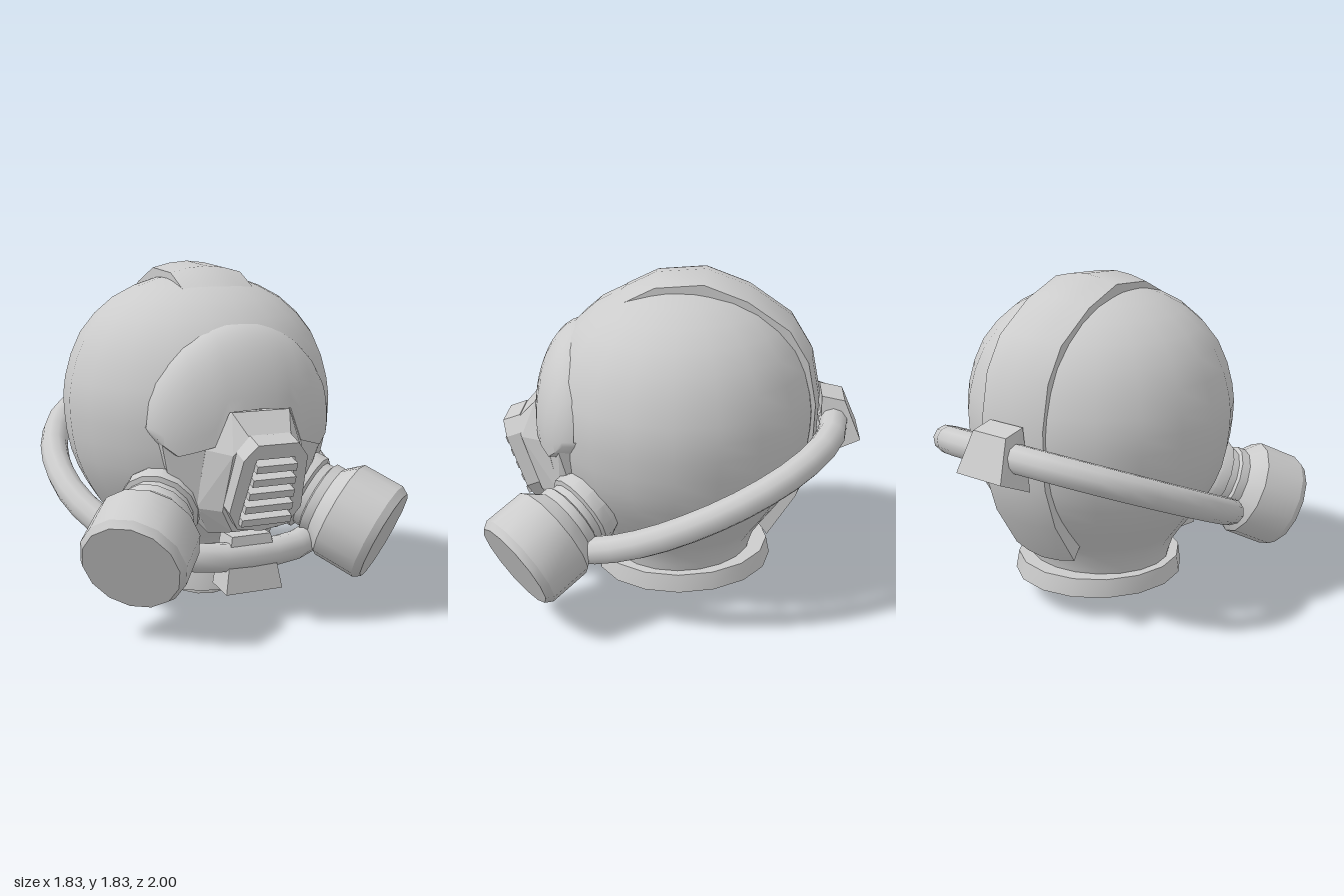
import * as THREE from 'three';
import { toCreasedNormals } from 'three/addons/utils/BufferGeometryUtils.js';
import { ConvexGeometry } from 'three/addons/geometries/ConvexGeometry.js';

const grey = new THREE.MeshStandardMaterial({ color: 0xcccccc });
const greyThin = new THREE.MeshStandardMaterial({ color: 0xcccccc, side: THREE.DoubleSide });
const V2 = (x, y) => new THREE.Vector2(x, y);
const V3 = (x, y, z) => new THREE.Vector3(x, y, z);

function add(parent, name, geometry, material = grey) {
  const mesh = new THREE.Mesh(geometry, material);
  mesh.name = name;
  parent.add(mesh);
  return mesh;
}

// Skin rows of points; closed wraps every row into a ring and caps both ends
function skin(rows, closed, crease) {
  const n = rows[0].length;
  const index = [];
  for (let i = 0; i < rows.length - 1; i++) {
    for (let j = 0; j < (closed ? n : n - 1); j++) {
      const a = i * n + j, b = i * n + (j + 1) % n;
      index.push(a, b, b + n, a, b + n, a + n);
    }
  }
  if (closed) {
    const last = (rows.length - 1) * n;
    for (let k = 1; k < n - 1; k++) index.push(0, k + 1, k, last, last + k, last + k + 1);
  }
  const g = new THREE.BufferGeometry().setFromPoints(rows.flat());
  g.setIndex(index);
  return toCreasedNormals(g, crease);
}

// Convex block from points, optionally mirrored across x
const hull = (pts, mirror) => new ConvexGeometry(
  pts.flatMap(([x, y, z]) => mirror ? [V3(x, y, z), V3(-x, y, z)] : [V3(x, y, z)]));

function addHead(g) {
  const profile = new THREE.SplineCurve([
    [0.39, 0.2], [0.43, 0.34], [0.52, 0.47], [0.62, 0.62], [0.7, 0.8], [0.735, 1.02],
    [0.725, 1.21], [0.64, 1.45], [0.46, 1.64], [0.22, 1.745], [0, 1.77],
  ].map(p => V2(...p)));
  add(g, 'head', new THREE.LatheGeometry(profile.getPoints(20), 20)).position.z = -0.02;
}

// Raised band running over the head from brow to nape
function addCrest(g) {
  const path = [
    [0.53, 1.53], [0.28, 1.73], [0.115, 1.81], [-0.15, 1.83], [-0.39, 1.74], [-0.62, 1.58],
    [-0.73, 1.4], [-0.78, 1.155], [-0.77, 0.83], [-0.69, 0.59], [-0.53, 0.34],
  ];
  const section = [[-1, 0.12], [-1, 0.035], [-0.5, 0.01], [0, 0], [0.5, 0.01], [1, 0.035], [1, 0.12]];
  const rows = path.map(([z, y], i) => {
    const out = V2(z + 0.03, y - 1.02).normalize();
    const half = i === 0 ? 0.18 : 0.205;
    return section.map(([s, drop]) => V3(s * half, y - out.y * drop, z - out.x * drop));
  });
  add(g, 'crest', skin(rows, true, 0.7));
}

// Domed visor with a stepped lower edge and a lip turned inwards
function addVisor(g) {
  const edge = [[0, 1.13], [0.09, 1.125], [0.17, 1.12], [0.24, 0.95], [0.32, 0.925],
    [0.4, 0.9], [0.46, 0.95], [0.495, 1.0], [0.51, 1.03]];
  const columns = [...edge.slice(1).reverse().map(([x, y]) => [-x, y]), ...edge];
  const dome = (x, y) => 0.51 + 0.275 * Math.sqrt(Math.max(0, 1 - (x * x + (y - 1.03) ** 2) / 0.2601));
  const rows = [columns.map(([x, y]) => V3(x, y, dome(x, y) - 0.1))];
  for (let i = 0; i <= 10; i++) {
    const t = Math.sin(i / 10 * Math.PI / 2);
    rows.push(columns.map(([x, low]) => {
      const high = 1.03 + Math.sqrt(Math.max(0, 0.2601 - x * x));
      const y = low + (high - low) * t;
      return V3(x, y, dome(x, y));
    }));
  }
  add(g, 'visor', skin(rows, false, 0.8), greyThin);
}

function addMask(g) {
  add(g, 'snout', hull([
    [0.16, 1.12, 0.77], [0.27, 0.93, 0.7], [0.29, 0.62, 0.63], [0.2, 0.47, 0.58],
    [0.11, 1.0, 0.88], [0.19, 0.92, 0.85], [0.2, 0.62, 0.75], [0.13, 0.5, 0.72],
    [0.16, 1.1, 0.5], [0.25, 0.55, 0.4],
  ], true));
  for (const s of [1, -1]) {
    add(g, s > 0 ? 'leftCheek' : 'rightCheek', hull([
      [0.46, 0.95, 0.6], [0.27, 0.95, 0.7], [0.27, 0.6, 0.64], [0.33, 0.6, 0.58],
      [0.42, 0.8, 0.57], [0.2, 0.95, 0.4], [0.3, 0.6, 0.4], [0.45, 0.95, 0.45],
    ].map(([x, y, z]) => [s * x, y, z])));
  }

  // Leaning grille: frame with an opening, and slats standing a little proud
  const grille = new THREE.Group();
  grille.name = 'grille';
  grille.position.set(0, 0.75, 0.876);
  grille.rotation.x = 0.355;
  g.add(grille);
  const frame = new THREE.Shape([[-0.14, -0.23], [0, -0.255], [0.14, -0.23], [0.2, -0.13],
    [0.175, 0.17], [0.11, 0.25], [-0.11, 0.25], [-0.175, 0.17], [-0.2, -0.13]].map(p => V2(...p)));
  frame.holes.push(new THREE.Path([[-0.14, -0.18], [-0.105, 0.17], [0.105, 0.17], [0.14, -0.18], [0, -0.205]]
    .map(p => V2(...p))));
  add(grille, 'grilleFrame', new THREE.ExtrudeGeometry(frame, { depth: 0.1, bevelEnabled: false }))
    .position.z = -0.1;
  for (let i = 0; i < 5; i++) {
    const slat = add(grille, 'slat', new THREE.BoxGeometry(0.22 + i * 0.014, 0.04, 0.12));
    slat.position.set(0, 0.13 - i * 0.077, -0.03);
  }
}

// Filter canisters with stepped necks, angled forward, outward and down
function addCanisters(g) {
  const profile = [[0.17, -0.62], [0.21, -0.52], [0.21, -0.46], [0.185, -0.45], [0.185, -0.41], [0.205, -0.4],
    [0.205, -0.35], [0.275, -0.27], [0.275, -0.04], [0.25, 0], [0, 0]].map(p => V2(...p));
  for (const s of [1, -1]) {
    const canister = add(g, s > 0 ? 'leftCanister' : 'rightCanister',
      toCreasedNormals(new THREE.LatheGeometry(profile, 14), 0.5));
    canister.position.set(s * 0.715, 0.41, 0.815);
    canister.quaternion.setFromUnitVectors(V3(0, 1, 0), V3(s * 0.6, -0.42, 0.68).normalize());
  }
}

// Sloping hose loop joined by a block at the back and one under the chin
function addHose(g) {
  const half = [[0.24, -0.84], [0.42, -0.77], [0.6, -0.61], [0.73, -0.35], [0.765, -0.08],
    [0.74, 0.12], [0.66, 0.32], [0.52, 0.5], [0.3, 0.62]];
  const loop = [[0, -0.85], ...half, [0, 0.65], ...half.map(([x, z]) => [-x, z]).reverse()];
  const curve = new THREE.CatmullRomCurve3(loop.map(([x, z]) => V3(x, 0.64 - 0.45 * z, z)), true);
  add(g, 'hose', new THREE.TubeGeometry(curve, 36, 0.076, 10, true));
  add(g, 'backBlock', hull([[0.11, 1.165, -0.785], [0.11, 1.14, -0.91],
    [0.15, 0.93, -1], [0.15, 0.83, -0.785]], true));
  add(g, 'chinBlock', hull([[0.11, 0.46, 0.54], [0.11, 0.46, 0.68],
    [0.16, 0.17, 0.72], [0.16, 0.19, 0.55]], true));
}

function addNeck(g) {
  const collar = add(g, 'collar', toCreasedNormals(new THREE.CylinderGeometry(0.445, 0.46, 0.1, 16), 0.6));
  collar.position.set(0, 0.175, -0.03);
  collar.scale.z = 1.09;
  collar.rotation.x = 0.035;

  // Open spout with a slanted lower rim
  const spout = new THREE.CylinderGeometry(0.21, 0.21, 0.16, 16, 1, true);
  const p = spout.attributes.position;
  for (let i = 0; i < p.count; i++) {
    p.setY(i, p.getY(i) > 0 ? 0.15 : 0.055 - 0.26 * p.getZ(i));
  }
  spout.computeVertexNormals();
  add(g, 'spout', spout, greyThin).position.z = -0.01;
}

export function createModel() {
  const model = new THREE.Group();
  model.name = 'maskedHelmet';
  for (const build of [addHead, addCrest, addVisor, addMask, addCanisters, addHose, addNeck]) build(model);
  return model;
}
